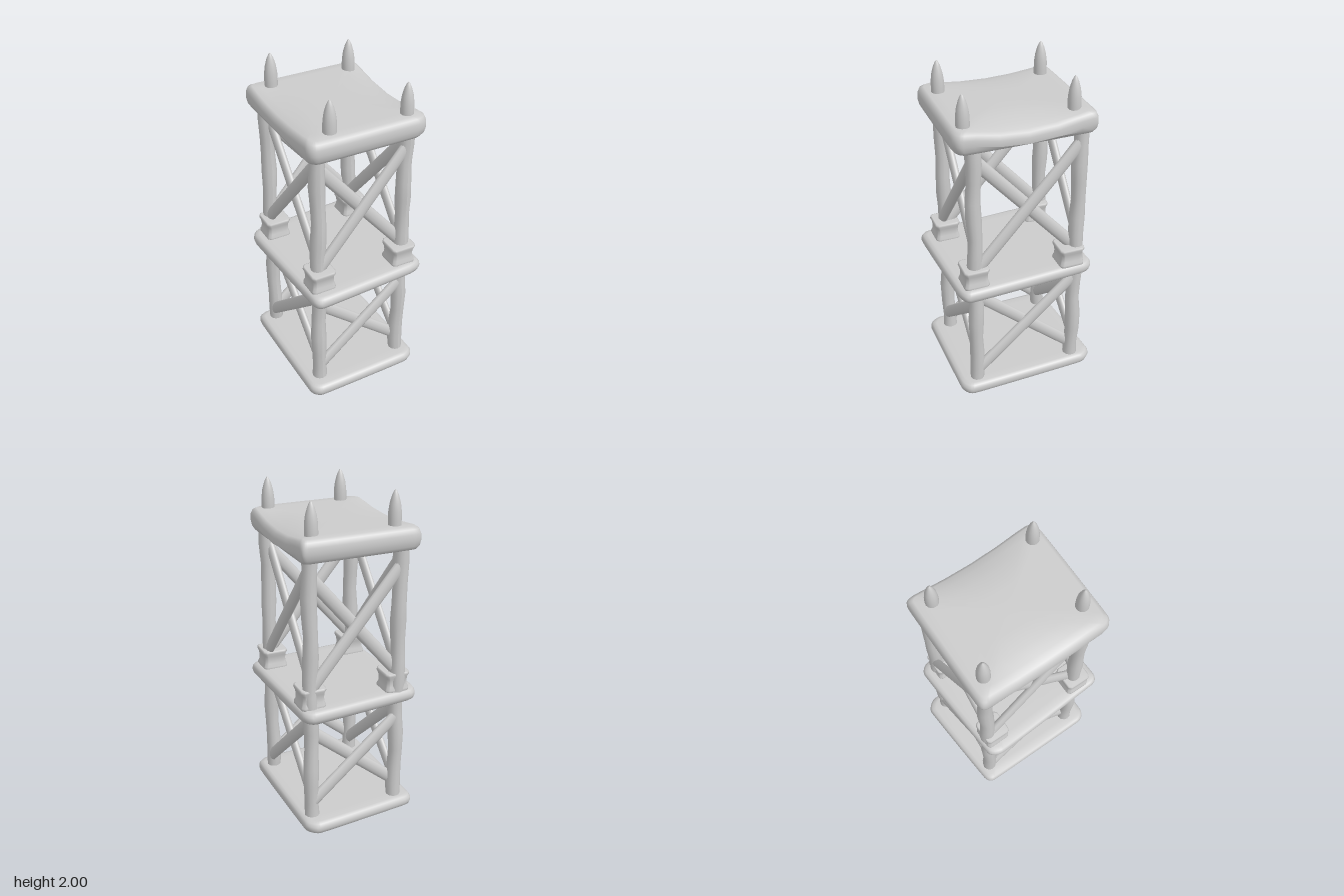
import * as THREE from 'three';
import { ParametricGeometry } from 'three/addons/geometries/ParametricGeometry.js';
import { mergeVertices } from 'three/addons/utils/BufferGeometryUtils.js';

const material = new THREE.MeshStandardMaterial({ color: 0xcccccc });

function makeMesh(geometry, name, parent) {
  const mesh = new THREE.Mesh(geometry, material);
  mesh.name = name;
  parent.add(mesh);
  return mesh;
}

// Solid lofted from an [x, z] outline (anticlockwise from above) and a [scale, y] profile.
function loft(outline, profile, warp = () => 0) {
  const curve = new THREE.CatmullRomCurve3(
    outline.map(([x, z]) => new THREE.Vector3(x, 0, z)), true, 'catmullrom', 0.13);
  const stacks = profile.length - 1;
  const geometry = new ParametricGeometry((u, v, target) => {
    const [s, y] = profile[Math.min(stacks, Math.max(0, Math.round(v * stacks)))];
    curve.getPoint(u >= 1 ? 0 : Math.max(u, 0), target).multiplyScalar(s);
    target.y = y + warp(target.x, target.z, y);
  }, outline.length * 6, stacks);
  geometry.deleteAttribute('uv');
  geometry.deleteAttribute('normal');
  const merged = mergeVertices(geometry, 1e-5);
  merged.computeVertexNormals();
  return merged;
}

// Worn slab: soft rim, nearly flat top and bottom.
function slab(outline, y0, y1, warp) {
  const h = y1 - y0;
  return loft(outline, [
    [0, y0], [0.5, y0], [0.88, y0], [0.95, y0 + h * 0.04], [0.985, y0 + h * 0.2], [1, y0 + h * 0.45],
    [0.995, y0 + h * 0.7], [0.97, y0 + h * 0.9], [0.92, y1 - h * 0.01], [0.8, y1], [0.6, y1], [0.3, y1], [0, y1],
  ], warp);
}

// Hewn round post: each ring is nudged and resized a little.
function postGeometry(height, seed) {
  const rings = 14;
  const geometry = new THREE.CylinderGeometry(0.044, 0.044, height, 12, rings);
  const p = geometry.attributes.position;
  for (let i = 0; i < p.count; i++) {
    const k = Math.round((p.getY(i) / height + 0.5) * rings);
    const s = 1 + 0.07 * Math.sin(k * 2.1 + seed * 1.7);
    p.setX(i, p.getX(i) * s + 0.004 * Math.sin(k * 1.3 + seed));
    p.setZ(i, p.getZ(i) * s + 0.004 * Math.cos(k * 1.7 + seed * 2.3));
  }
  geometry.computeVertexNormals();
  return geometry;
}

// Crossed pair of flattened poles in a local xy plane, one just ahead of the other.
function crossBrace(width, low, high, name) {
  const group = new THREE.Group();
  group.name = name;
  for (const dir of [1, -1]) {
    const rise = high - low;
    const brace = makeMesh(new THREE.CylinderGeometry(0.5, 0.5, 1, 12, 1), 'brace', group);
    brace.scale.set(0.076, Math.hypot(width, rise), 0.046);
    brace.position.set(0, (low + high) / 2, dir * 0.014);
    brace.rotation.z = -dir * Math.atan2(width, rise);
  }
  return group;
}

export function createModel() {
  const tower = new THREE.Group();
  tower.name = 'woodenTower';

  // Three platforms, each a slightly crooked rectangle
  makeMesh(slab([
    [0.30, 0.42], [0.375, 0.36], [0.36, -0.38], [0.29, -0.455],
    [-0.31, -0.41], [-0.365, -0.36], [-0.36, 0.36], [-0.30, 0.425],
  ], 0.005, 0.085), 'basePlatform', tower);
  makeMesh(slab([
    [0.30, 0.42], [0.39, 0.37], [0.36, -0.36], [0.30, -0.425],
    [-0.34, -0.38], [-0.39, -0.30], [-0.35, 0.40], [-0.30, 0.452],
  ], 0.73, 0.81), 'middlePlatform', tower);
  // Top platform sags at the middle of its two sides
  const sag = (x, z, y) => {
    if (y < 1.72) return 0;
    const side = THREE.MathUtils.smoothstep(Math.abs(x), 0.18, 0.37);
    return -(x > 0 ? 0.045 : 0.03) * side * Math.max(0, 1 - (z / 0.33) ** 2);
  };
  makeMesh(slab([
    [0.29, 0.425], [0.36, 0.375], [0.36, -0.365], [0.32, -0.405],
    [-0.31, -0.405], [-0.36, -0.365], [-0.36, 0.36], [-0.31, 0.42],
  ], 1.67, 1.805, sag), 'topPlatform', tower);

  // Corner posts with a pinched collar above the middle platform and a pointed top
  const corners = [
    { x: -0.262, z: 0.305, tip: [-0.20, 0.33], top: 1.99 },
    { x: 0.29, z: 0.305, tip: [0.26, 0.343], top: 1.985 },
    { x: 0.29, z: -0.328, tip: [0.26, -0.292], top: 1.985 },
    { x: -0.262, z: -0.328, tip: [-0.23, -0.305], top: 2.0 },
  ];
  const collar = loft([
    [0.058, 0.077], [0.077, 0.058], [0.077, -0.058], [0.058, -0.077],
    [-0.058, -0.077], [-0.077, -0.058], [-0.077, 0.058], [-0.058, 0.077],
  ], [
    [0, 0.80], [0.9, 0.80], [0.98, 0.805], [0.98, 0.82], [0.88, 0.84], [0.86, 0.865],
    [0.9, 0.89], [1, 0.91], [0.98, 0.922], [0.9, 0.925], [0, 0.925],
  ]);
  corners.forEach(({ x, z, tip, top }, i) => {
    const post = makeMesh(postGeometry(1.66, i * 2 + 1), 'post', tower);
    post.position.set(x, 0.05 + 0.83, z);

    makeMesh(collar, 'collar', tower).position.set(
      x + (x > 0 ? -0.013 : 0.005), 0, z + (z > 0 ? 0.003 : 0.04));

    const profile = [[0.036, -0.27], [0.038, -0.17], [0.037, -0.12], [0.031, -0.075], [0.02, -0.035], [0.009, -0.01], [0, 0]];
    const spike = makeMesh(new THREE.LatheGeometry(
      profile.map(([r, y]) => new THREE.Vector2(r, y)), 16), 'spike', tower);
    spike.position.set(tip[0], top, tip[1]);
  });

  // Cross braces on all four sides, on both storeys
  const cx = 0.014, cz = -0.012, w = 0.552, d = 0.633;
  const sides = [
    { name: 'front', pos: [cx, 0.305], turn: 0, span: w, lower: [0.18, 0.645], upper: [0.93, 1.585] },
    { name: 'back', pos: [cx, -0.328], turn: Math.PI, span: w, lower: [0.18, 0.645], upper: [0.93, 1.585] },
    { name: 'left', pos: [0.29, cz], turn: Math.PI / 2, span: d, lower: [0.15, 0.71], upper: [0.9, 1.61] },
    { name: 'right', pos: [-0.262, cz], turn: -Math.PI / 2, span: d, lower: [0.15, 0.71], upper: [0.9, 1.61] },
  ];
  for (const { name, pos, turn, span, lower, upper } of sides) {
    for (const [level, [low, high]] of [['Lower', lower], ['Upper', upper]]) {
      const cross = crossBrace(span, low, high, `${name}${level}Brace`);
      cross.position.set(pos[0], 0, pos[1]);
      cross.rotation.y = turn;
      tower.add(cross);
    }
  }
  return tower;
}
